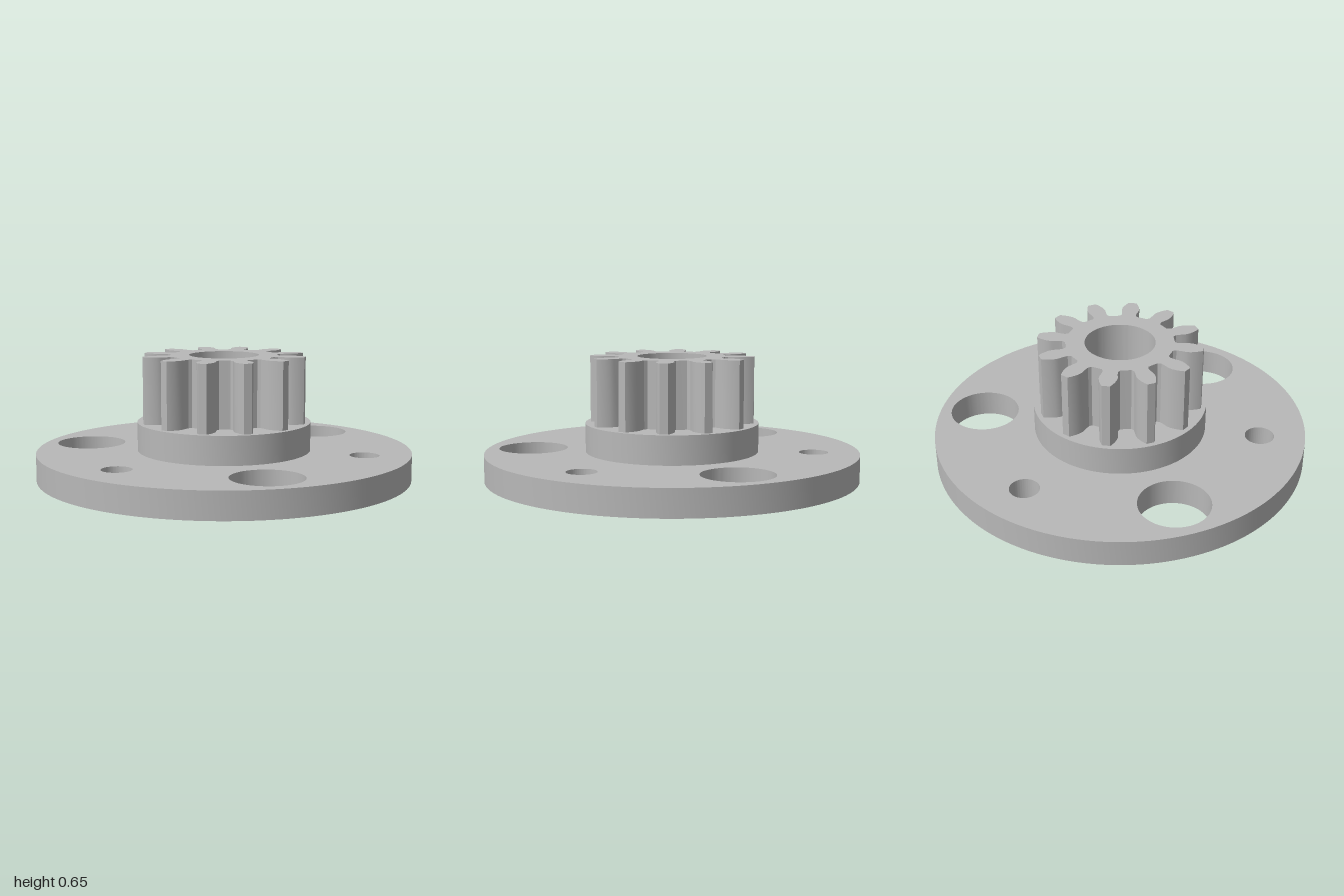
import * as THREE from 'three';
import { toCreasedNormals } from 'three/addons/utils/BufferGeometryUtils.js';

const BORE = 0.185;
const TEETH = 12;

const disc = (radius) => new THREE.Shape().absarc(0, 0, radius, 0, Math.PI * 2, false);

function addHole(shape, radius, distance = 0, degrees = 0) {
  const a = THREE.MathUtils.degToRad(degrees);
  const hole = new THREE.Path();
  hole.absarc(Math.cos(a) * distance, Math.sin(a) * distance, radius, 0, Math.PI * 2, true);
  shape.holes.push(hole);
}

// Extrude a plan outline upward from bottom to top
function slab(name, shape, bottom, top, material) {
  const extruded = new THREE.ExtrudeGeometry(shape, {
    depth: top - bottom, bevelEnabled: false, curveSegments: 72,
  });
  extruded.rotateX(-Math.PI / 2).translate(0, bottom, 0);
  const mesh = new THREE.Mesh(toCreasedNormals(extruded, Math.PI / 7), material);
  mesh.name = name;
  return mesh;
}

// Toothed outline: each tooth is a mirrored half profile of [radius, half width]
function gearOutline() {
  const half = [
    [0.283, 0.046], [0.3, 0.038], [0.325, 0.041], [0.352, 0.047],
    [0.375, 0.046], [0.4, 0.039], [0.422, 0.03], [0.437, 0.021],
  ];
  const profile = [
    ...half.map(([r, w]) => [r, -w]),
    ...half.slice().reverse(),
  ];
  const points = [];
  for (let i = 0; i < TEETH; i++) {
    const a = (i / TEETH) * Math.PI * 2;
    for (const [r, w] of profile) {
      points.push(new THREE.Vector2(r, w).rotateAround(new THREE.Vector2(), a));
    }
    // Middle of the gap floor
    const gap = a + Math.PI / TEETH;
    points.push(new THREE.Vector2(Math.cos(gap), Math.sin(gap)).multiplyScalar(0.285));
  }
  return new THREE.Shape(points);
}

export function createModel() {
  const group = new THREE.Group();
  group.name = 'flangedPinion';
  const metal = new THREE.MeshStandardMaterial({ color: 0xb8b8b8 });
  metal.name = 'grey metal';

  // Flange with alternating large and small holes
  const flange = disc(1);
  addHole(flange, BORE);
  for (let i = 0; i < 3; i++) {
    addHole(flange, 0.185, 0.757, 90 + i * 120);
    addHole(flange, 0.078, 0.757, 30 + i * 120);
  }
  group.add(slab('flange', flange, 0, 0.142, metal));

  // Raised hub
  const hub = disc(0.463);
  addHole(hub, BORE);
  group.add(slab('hub', hub, 0.142, 0.295, metal));

  // Pinion gear
  const gear = gearOutline();
  addHole(gear, BORE);
  group.add(slab('pinionGear', gear, 0.295, 0.65, metal));

  return group;
}
